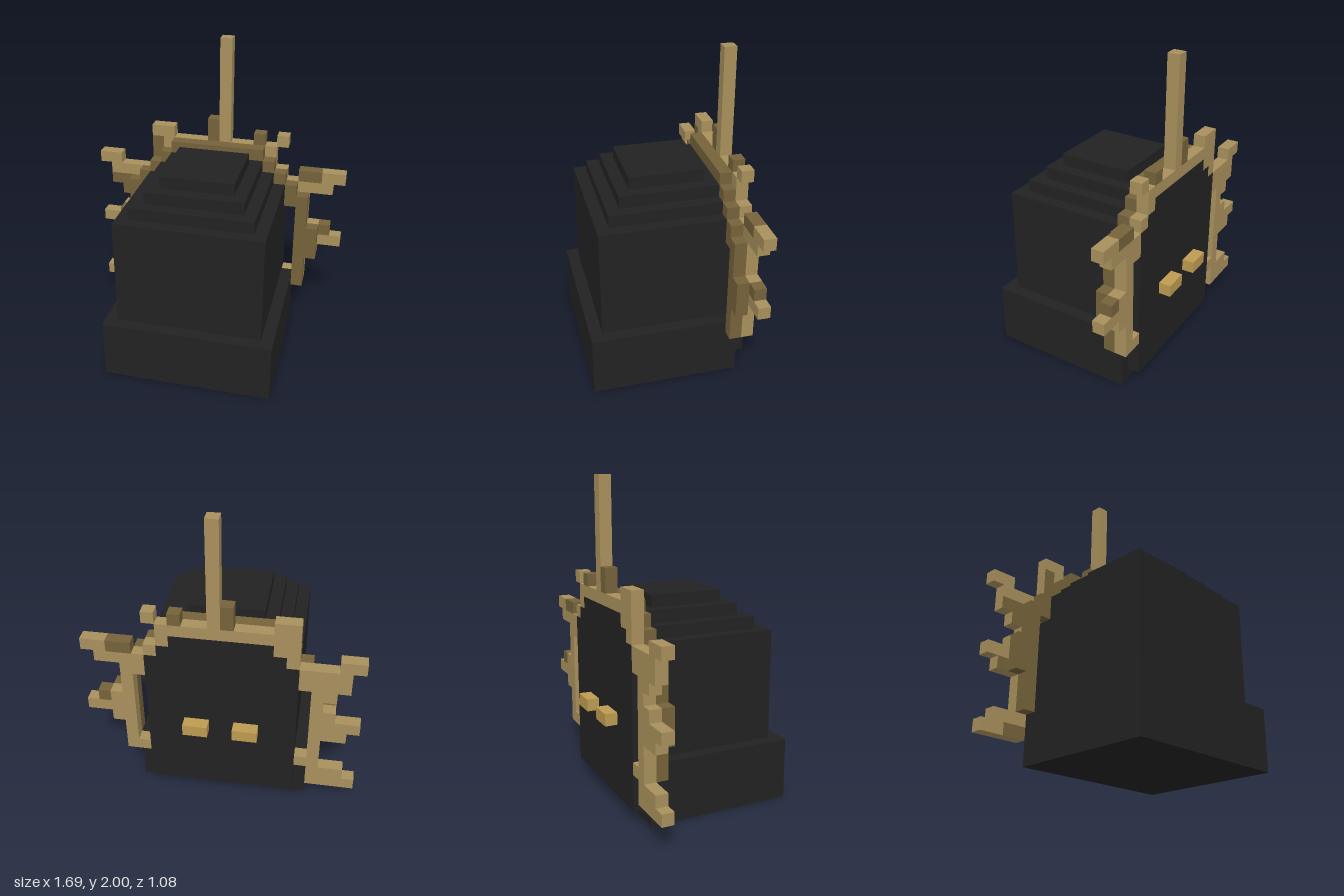
import * as THREE from 'three';

const U = 2 / 26; // size of one block

export function createModel() {
  const model = new THREE.Group();
  model.name = 'blockShrine';

  const mat = (name, color) => {
    const m = new THREE.MeshStandardMaterial({ color });
    m.name = name;
    return m;
  };
  const black = mat('black', 0x222222);
  const gold = mat('gold', 0xa8905c);
  const darkGold = mat('darkGold', 0x75623a);
  const brightGold = mat('brightGold', 0xbd9b50);
  // gold block whose front face is dark
  const goldDarkFront = [gold, gold, gold, gold, darkGold, gold];

  // Box given by its limits in block units
  function box(parent, name, material, x0, x1, y0, y1, z0, z1) {
    const geo = new THREE.BoxGeometry((x1 - x0) * U, (y1 - y0) * U, (z1 - z0) * U);
    const mesh = new THREE.Mesh(geo, material);
    mesh.position.set((x0 + x1) / 2 * U, (y0 + y1) / 2 * U, (z0 + z1) / 2 * U);
    mesh.name = name;
    parent.add(mesh);
  }
  function group(name) {
    const g = new THREE.Group();
    g.name = name;
    model.add(g);
    return g;
  }

  // Stepped body: half width, bottom, top, back, front
  const body = group('body');
  box(body, 'base', black, -7, 7, 0, 5, -5, 7);
  box(body, 'mainBlock', black, -6, 6, 5, 14, -5, 6);
  for (let i = 0; i < 3; i++) {
    const h = 5 - i;
    box(body, 'roofStep', black, -h, h, 14 + i, 15 + i, -h, h);
  }

  // Back plate with stepped shoulders
  const plate = group('backPlate');
  box(plate, 'plate', black, -6, 6, 1, 14, -6, -5);
  box(plate, 'plateShoulder', black, -5, 5, 14, 15, -6, -5);
  box(plate, 'plateTop', black, -4, 4, 15, 16, -6, -5);

  // Small studs on the back plate
  for (const x of [-3, 1]) box(plate, 'stud', brightGold, x, x + 2, 7, 8, -7, -6);

  // Arched frame: dark inner layer and lighter outer layer
  const frame = group('archFrame');
  for (const [material, z] of [[darkGold, -5], [gold, -6]]) {
    box(frame, 'archTop', material, -4, 4, 16, 17, z, z + 1);
    for (const s of [-1, 1]) {
      const part = (name, a, b, y0, y1) =>
        box(frame, name, material, Math.min(s * a, s * b), Math.max(s * a, s * b), y0, y1, z, z + 1);
      part('archStep', 4, 5, 15, 16);
      part('archStep', 5, 6, 14, 15);
      part('archCorner', 6, 7, 12, 14);
      part('sideBar', 7, 8, 4, 13);
      part('barBump', 8, 9, 7, 10);
      if (z === -6) part('barFoot', 6, 7, 4, 5);
    }
  }

  // Spikes growing from the outer layer: material, x0, x1, y0, y1
  const spikes = group('spikes');
  const list = [
    // mast and its stub
    [gold, 0, 1, 17, 26],
    [darkGold, -1, 0, 17, 19],
    // left side
    [darkGold, 3, 4, 17, 18],
    [gold, 4, 5, 16, 17],
    [gold, 5, 6, 17, 18],
    [gold, 7, 10, 13, 14],
    [darkGold, 7, 9, 14, 15],
    [gold, 9, 11, 14, 15],
    [darkGold, 9, 10, 9, 10],
    [gold, 9, 11, 8, 9],
    // right side
    [gold, -6, -4, 17, 18],
    [goldDarkFront, -6, -5, 15, 17],
    [gold, -5, -4, 16, 17],
    [gold, -10, -7, 13, 14],
    [gold, -11, -9, 14, 15],
    [goldDarkFront, -10, -8, 12, 13],
    [goldDarkFront, -9, -8, 11, 12],
    [gold, -11, -9, 8, 9],
    [goldDarkFront, -10, -9, 7, 8],
    [gold, -10, -7, 3, 4],
    [gold, -11, -9, 2, 3],
    [goldDarkFront, -9, -7, 2, 3],
  ];
  for (const [m, x0, x1, y0, y1] of list) box(spikes, 'spike', m, x0, x1, y0, y1, -6, -5);

  return model;
}
